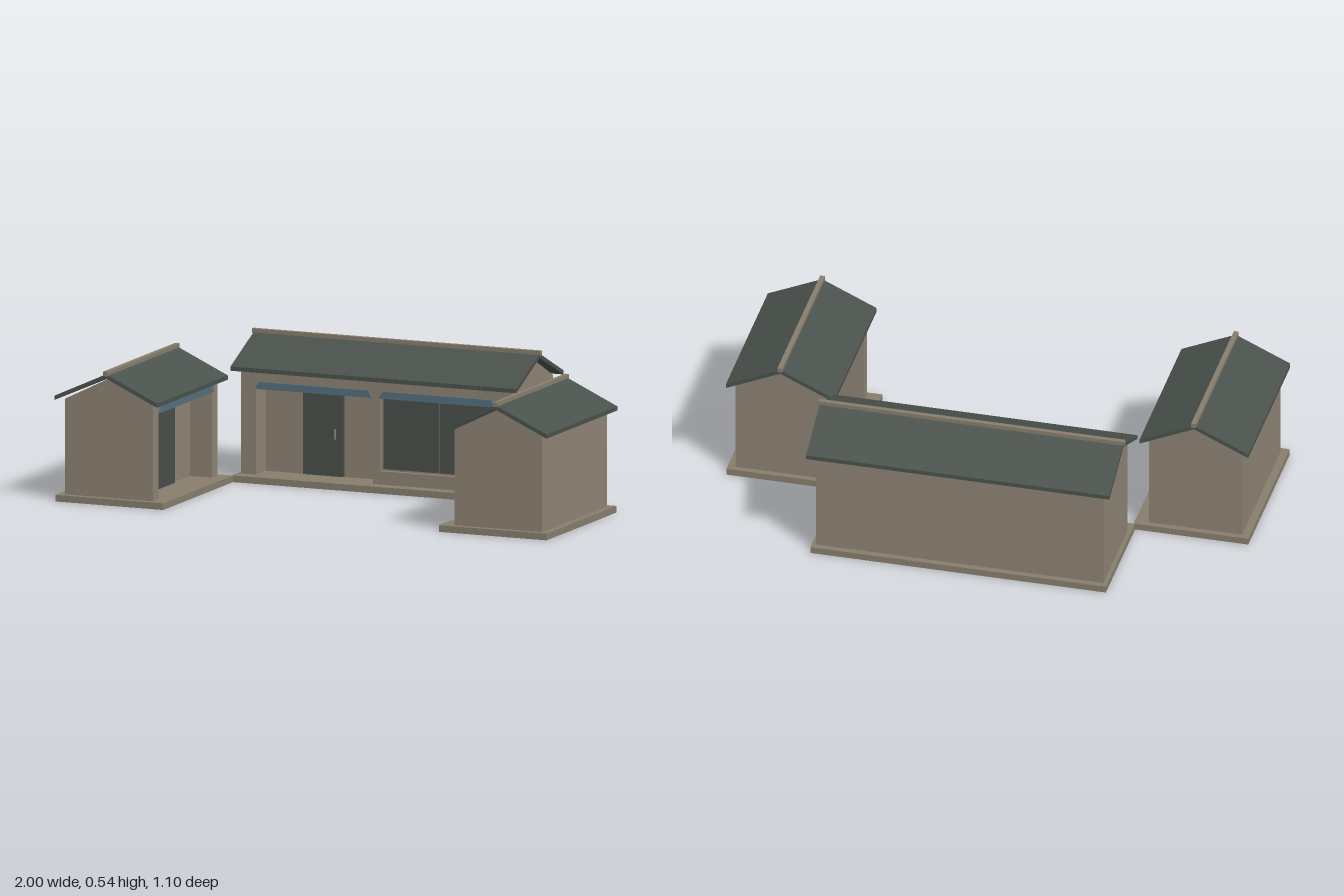
import * as THREE from 'three';

const mat = (name, color) => {
  const m = new THREE.MeshStandardMaterial({ color });
  m.name = name;
  return m;
};

export function createModel() {
  const wall = mat('plaster', 0x8e8374);
  const stone = mat('stone', 0x877e6d);
  const tile = mat('roof tile', 0x4a524d);
  const glass = mat('dark glass', 0x484f4a);
  const blue = mat('blue awning', 0x54707f);

  // Box given by its limits on each axis
  const box = (parent, name, m, x0, x1, y0, y1, z0, z1) => {
    const mesh = new THREE.Mesh(new THREE.BoxGeometry(x1 - x0, y1 - y0, z1 - z0), m);
    mesh.position.set((x0 + x1) / 2, (y0 + y1) / 2, (z0 + z1) / 2);
    mesh.name = name;
    parent.add(mesh);
    return mesh;
  };

  // Outline in (z, y) extruded along x, centred
  const prismX = (parent, name, m, pts, length) => {
    const shape = new THREE.Shape(pts.map(([z, y]) => new THREE.Vector2(-z, y)));
    const geo = new THREE.ExtrudeGeometry(shape, { depth: length, bevelEnabled: false });
    geo.translate(0, 0, -length / 2).rotateY(Math.PI / 2);
    const mesh = new THREE.Mesh(geo, m);
    mesh.name = name;
    parent.add(mesh);
  };

  // Awning plate with slanted ends, fixed to the front
  const awning = (parent, x0, x1, z) => {
    const s = new THREE.Shape([[x0, 0.35], [x1, 0.35], [x1 - 0.016, 0.377], [x0 + 0.016, 0.377]]
      .map(([x, y]) => new THREE.Vector2(x, y)));
    const mesh = new THREE.Mesh(new THREE.ExtrudeGeometry(s, { depth: 0.009, bevelEnabled: false }), blue);
    mesh.position.z = z;
    mesh.name = 'awning';
    parent.add(mesh);
  };

  const floor = 0.025, lintel = 0.35, porch = 0.09;

  // Gabled hall facing +z: shell, front pillars, lintel, roof and ridge
  const hall = (name, o) => {
    const g = new THREE.Group();
    g.name = name;
    const { w, d, top, apex, post } = o;
    box(g, 'rearBlock', wall, -w, w, floor, top, -d, d - porch);
    box(g, 'lintel', wall, -w, w, lintel, top, d - porch, d);
    for (const s of [-1, 1]) {
      const c = s * (w - post / 2);
      box(g, 'pillar', wall, c - post / 2, c + post / 2, floor, lintel, d - porch, d);
    }
    prismX(g, 'gable', wall, [[-d, top], [0, apex], [d, top]], 2 * w);
    const { roofW, roofD, eave, ridge, t } = o;
    prismX(g, 'roof', tile, [[-roofD, eave], [-roofD, eave + t], [0, ridge], [roofD, eave + t],
      [roofD, eave], [0, ridge - t]], 2 * roofW);
    box(g, 'ridgeCap', stone, -roofW - 0.006, roofW + 0.006, ridge - 0.006, ridge + 0.011, -0.009, 0.009);
    return g;
  };

  const model = new THREE.Group();
  model.name = 'courtyardHouse';

  // Main hall: open porch with a door, and a glazed bay
  const d = 0.186, back = d - porch;
  const main = hall('mainHall', {
    w: 0.55, d, top: 0.417, apex: 0.508, post: 0.06,
    roofW: 0.58, roofD: 0.216, eave: 0.415, ridge: 0.529, t: 0.016,
  });
  main.position.z = -0.335;
  box(main, 'centrePillar', wall, -0.015, 0.015, floor, lintel, back, d);
  box(main, 'windowSill', wall, 0.015, 0.49, floor, 0.075, back, d);
  box(main, 'windowBacking', wall, 0.015, 0.49, 0.075, lintel, back, d - 0.018);
  for (const [x0, x1] of [[0.022, 0.245], [0.251, 0.483]]) {
    box(main, 'windowPane', glass, x0, x1, 0.082, lintel, d - 0.018, d - 0.012);
  }
  box(main, 'door', glass, -0.335, -0.17, floor, lintel, back, back + 0.008);
  box(main, 'doorHandle', stone, -0.207, -0.202, 0.165, 0.205, back + 0.008, back + 0.015);
  awning(main, -0.49, -0.015, d);
  awning(main, 0.012, 0.487, d);
  model.add(main);
  box(model, 'mainPlatform', stone, -0.565, 0.565, 0, floor, -0.545, -0.097);

  // Two side halls facing the courtyard
  for (const s of [-1, 1]) {
    const sd = 0.178, sBack = sd - porch;
    const side = hall(s > 0 ? 'leftHall' : 'rightHall', {
      w: 0.295, d: sd, top: 0.386, apex: 0.475, post: 0.05,
      roofW: 0.323, roofD: 0.208, eave: 0.384, ridge: 0.495, t: 0.016,
    });
    box(side, 'door', glass, -0.09, 0.09, floor, lintel, sBack, sBack + 0.008);
    awning(side, -0.245, 0.245, sd);
    side.position.set(s * 0.791, 0, 0.221);
    side.rotation.y = -s * Math.PI / 2;
    model.add(side);
    box(model, 'sidePlatform', stone, s * 0.779 - 0.219, s * 0.779 + 0.219, 0, floor, -0.097, 0.54);
  }
  return model;
}
